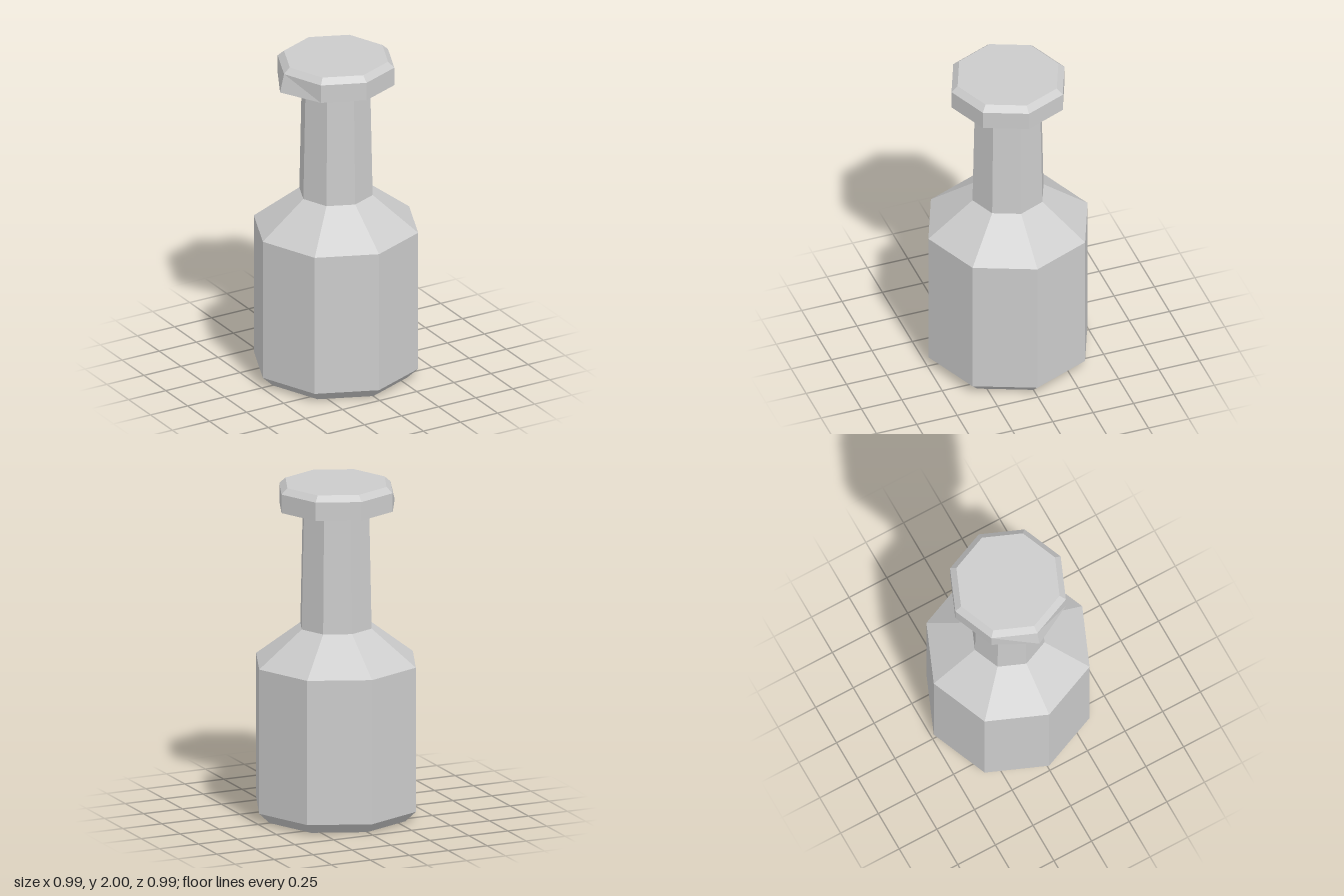
import * as THREE from 'three';

const SIDES = 8;

// Faceted solid of revolution; profile is [radius, y] from bottom to top
function turned(name, profile, material) {
  const points = profile.map(([r, y]) => new THREE.Vector2(r, y));
  const mesh = new THREE.Mesh(new THREE.LatheGeometry(points, SIDES), material);
  mesh.name = name;
  return mesh;
}

export function createModel() {
  const group = new THREE.Group();
  group.name = 'bottle';
  const material = new THREE.MeshStandardMaterial({ color: 0xcccccc, flatShading: true });

  // Body with bevelled base, sloping shoulder and tapering neck
  const neckTop = 1.855;
  const body = turned('body', [
    [0, 0], [0.427, 0], [0.493, 0.063], [0.493, 0.93], [0.22, 1.14], [0.205, neckTop],
  ], material);

  // Wide cap with a bevelled top edge
  const cap = turned('cap', [
    [0, neckTop], [0.35, neckTop], [0.35, 1.966], [0.312, 2], [0, 2],
  ], material);

  // Small pouring lip: the lower rim corner on the -x side is pulled outward
  const pos = cap.geometry.attributes.position;
  for (let i = 0; i < pos.count; i++) {
    if (pos.getX(i) < -0.3 && pos.getY(i) < neckTop + 0.01) pos.setX(i, -0.377);
  }
  cap.geometry.computeVertexNormals();

  group.add(body, cap);
  return group;
}
